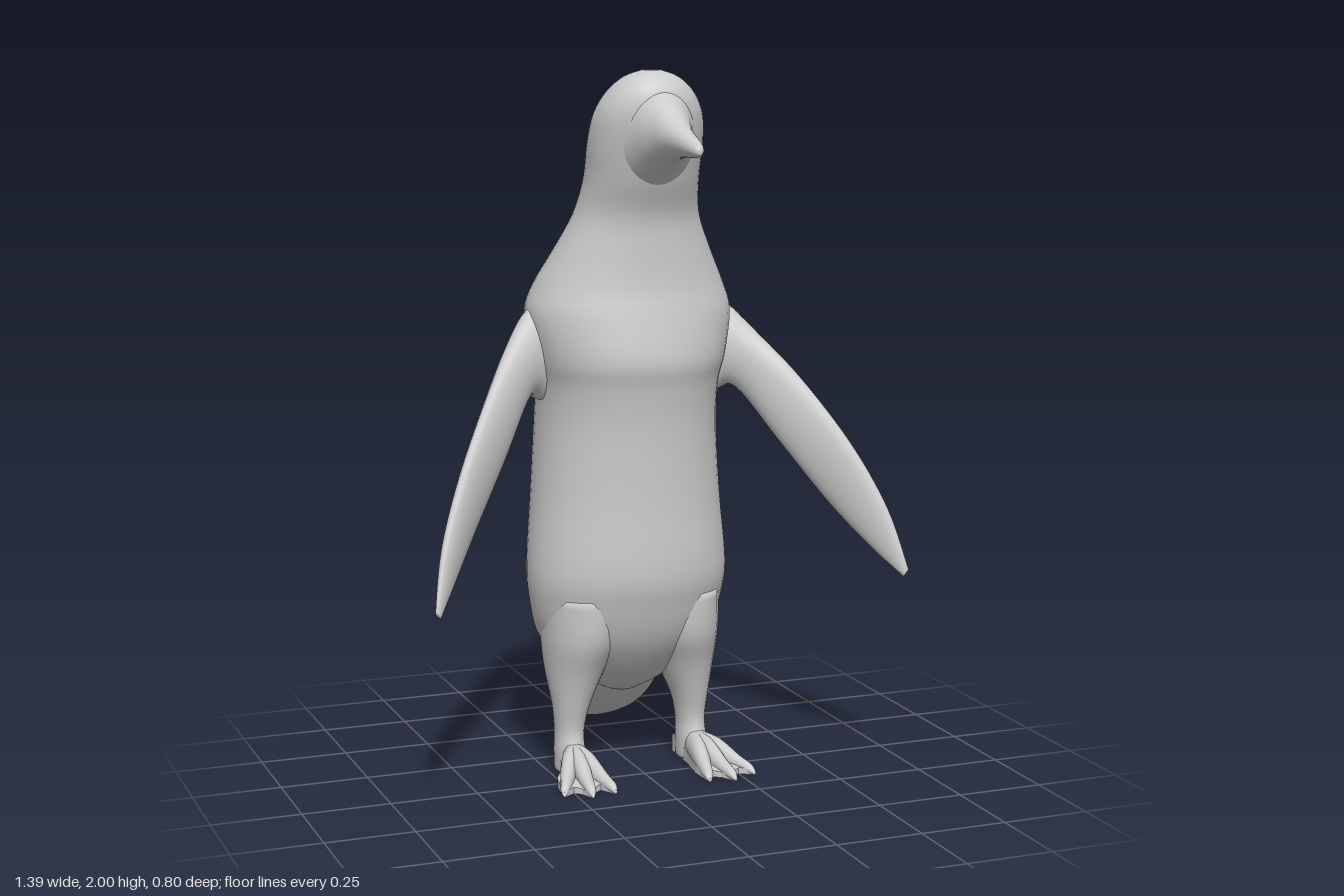
import * as THREE from 'three';

const material = new THREE.MeshStandardMaterial({ color: 0xcccccc, side: THREE.DoubleSide });

// Smooth interpolation through rows of numbers
function sampleRows(rows, steps) {
  const out = [], n = rows.length - 1;
  for (let i = 0; i <= n * steps; i++) {
    const k = Math.min(Math.floor(i / steps), n - 1), t = i / steps - k;
    const p0 = rows[Math.max(k - 1, 0)], p1 = rows[k], p2 = rows[k + 1], p3 = rows[Math.min(k + 2, n)];
    out.push(p1.map((b, j) => {
      const a = p0[j], c = p2[j], d = p3[j];
      return b + 0.5 * t * (c - a + t * (2 * a - 5 * b + 4 * c - d + t * (3 * (b - c) + d - a)));
    }));
  }
  return out;
}

// Closed skin over oval sections; each row is centre, half axis a, half axis b
function loft(name, rows, { steps = 4, sides = 32, power = 2 } = {}) {
  const rings = sampleRows(rows, steps), pos = [], idx = [];
  const bend = v => Math.sign(v) * Math.abs(v) ** (2 / power);
  for (const r of rings) {
    for (let s = 0; s < sides; s++) {
      const q = s / sides * Math.PI * 2, u = bend(Math.cos(q)), v = bend(Math.sin(q));
      for (let j = 0; j < 3; j++) pos.push(r[j] + u * r[3 + j] + v * r[6 + j]);
    }
  }
  const last = rings.length - 1, c0 = pos.length / 3;
  pos.push(...rings[0].slice(0, 3), ...rings[last].slice(0, 3));

  // Wind the faces outwards whichever way the axes turn
  const mid = rows[rows.length >> 1];
  const dir = new THREE.Vector3(...rows.at(-1)).sub(new THREE.Vector3(...rows[0]));
  const turn = new THREE.Vector3(mid[3], mid[4], mid[5]).cross(new THREE.Vector3(mid[6], mid[7], mid[8]));
  const flip = turn.dot(dir) < 0;
  const tri = (a, b, c) => flip ? idx.push(a, c, b) : idx.push(a, b, c);
  for (let s = 0; s < sides; s++) {
    const t = (s + 1) % sides;
    for (let i = 0; i < last; i++) {
      const a = i * sides + s, b = i * sides + t;
      tri(a, b, b + sides);
      tri(a, b + sides, a + sides);
    }
    tri(c0, t, s);
    tri(c0 + 1, last * sides + s, last * sides + t);
  }
  const geo = new THREE.BufferGeometry();
  geo.setAttribute('position', new THREE.Float32BufferAttribute(pos, 3));
  geo.setIndex(idx);
  geo.computeVertexNormals();
  const mesh = new THREE.Mesh(geo, material);
  mesh.name = name;
  return mesh;
}

// Level section: height, half width, front z, back z, centre x
const level = ([y, w, zf, zb, x = 0]) => [x, y, (zf + zb) / 2, w, 0, 0, 0, 0, (zf - zb) / 2];
// Upright section: z, half width, top y, bottom y
const upright = ([z, w, top, bottom]) => [0, (top + bottom) / 2, z, w, 0, 0, 0, (top - bottom) / 2, 0];

function flipper(side) {
  // Leading edge, trailing edge, half thickness
  const rows = [
    [0.22, 1.35, -0.19, 0.18, 1.10, -0.15, 0.06],
    [0.285, 1.34, -0.13, 0.26, 1.08, -0.13, 0.06],
    [0.37, 1.245, -0.06, 0.32, 1.09, -0.10, 0.045],
    [0.46, 1.13, 0.03, 0.41, 0.95, -0.01, 0.033],
    [0.57, 0.95, 0.14, 0.53, 0.77, 0.09, 0.028],
    [0.65, 0.77, 0.22, 0.62, 0.65, 0.19, 0.02],
    [0.692, 0.60, 0.275, 0.68, 0.58, 0.27, 0.006],
  ].map(([lx, ly, lz, tx, ty, tz, h]) => [
    side * (lx + tx) / 2, (ly + ty) / 2, (lz + tz) / 2,
    side * (lx - tx) / 2, (ly - ty) / 2, (lz - tz) / 2,
    side * h * 0.73, 0, -h * 0.68]);
  return loft(side > 0 ? 'leftFlipper' : 'rightFlipper', rows, { steps: 5, sides: 24 });
}

function foot(side) {
  const group = new THREE.Group();
  group.name = side > 0 ? 'leftFoot' : 'rightFoot';

  // Webbed sole, tapering in height from heel to toes
  const outline = [
    [0.155, -0.175], [0.215, -0.175], [0.23, -0.05], [0.275, 0.03], [0.288, 0.125], [0.25, 0.10],
    [0.232, 0.115], [0.215, 0.16], [0.19, 0.115], [0.17, 0.10], [0.142, 0.15], [0.137, 0.05], [0.15, -0.05],
  ].map(([x, z]) => new THREE.Vector2(side * x, -z));
  const web = new THREE.ExtrudeGeometry(new THREE.Shape(outline), { depth: 1, bevelEnabled: false });
  web.rotateX(-Math.PI / 2);
  const p = web.attributes.position;
  for (let i = 0; i < p.count; i++) {
    p.setY(i, p.getY(i) * THREE.MathUtils.mapLinear(p.getZ(i), -0.175, 0.16, 0.05, 0.012));
  }
  web.computeVertexNormals();
  const sole = new THREE.Mesh(web, material);
  sole.name = 'webbedSole';
  group.add(sole);

  // Three toes fanning out from the ankle
  for (const [x, z] of [[0.142, 0.15], [0.215, 0.165], [0.288, 0.13]]) {
    const rows = [[0, 0.03, 0.045], [0.35, 0.028, 0.04], [0.7, 0.02, 0.022], [0.9, 0.014, 0.014], [1, 0.003, 0.004]]
      .map(([t, w, h]) => [
        side * THREE.MathUtils.lerp(0.187, x, t), h + 0.002, THREE.MathUtils.lerp(-0.09, z, t),
        w, 0, 0, 0, h, 0]);
    group.add(loft('toe', rows, { sides: 12 }));
  }
  return group;
}

export function createModel() {
  const model = new THREE.Group();
  model.name = 'penguin';

  // Torso, neck and skull in one skin
  model.add(loft('body', [
    [0.21, 0.05, -0.15, -0.30], [0.25, 0.13, -0.09, -0.335], [0.32, 0.205, -0.03, -0.345],
    [0.40, 0.26, 0.02, -0.35], [0.50, 0.285, 0.055, -0.36], [0.60, 0.292, 0.075, -0.37],
    [0.80, 0.275, 0.07, -0.385], [1.00, 0.262, 0.075, -0.39], [1.12, 0.262, 0.09, -0.375],
    [1.20, 0.278, 0.105, -0.365], [1.32, 0.298, 0.085, -0.355], [1.40, 0.275, 0.07, -0.33],
    [1.50, 0.225, 0.065, -0.265], [1.60, 0.18, 0.07, -0.205], [1.70, 0.162, 0.11, -0.165],
    [1.80, 0.161, 0.14, -0.135], [1.88, 0.15, 0.155, -0.105], [1.94, 0.118, 0.15, -0.07],
    [1.98, 0.072, 0.12, -0.025], [1.997, 0.025, 0.075, 0.025],
  ].map(level), { sides: 48, power: 2.1 }));

  // Face running forward into a pointed beak
  model.add(loft('beak', [
    [0.00, 0.12, 1.97, 1.67], [0.08, 0.118, 1.97, 1.675], [0.14, 0.088, 1.945, 1.715],
    [0.20, 0.06, 1.905, 1.75], [0.25, 0.044, 1.87, 1.768], [0.30, 0.034, 1.847, 1.774],
    [0.36, 0.024, 1.826, 1.776], [0.39, 0.014, 1.812, 1.78], [0.40, 0.004, 1.80, 1.787],
  ].map(upright)));

  // Broad flat tail
  model.add(loft('tail', [
    [0.46, 0.20, -0.20, -0.35], [0.34, 0.18, -0.17, -0.352], [0.24, 0.15, -0.185, -0.36],
    [0.17, 0.135, -0.245, -0.372], [0.11, 0.105, -0.32, -0.388], [0.08, 0.06, -0.365, -0.397],
    [0.07, 0.015, -0.385, -0.398],
  ].map(level)));

  for (const side of [1, -1]) {
    // Thigh narrowing to the ankle
    const leg = [
      [0.52, 0.12, 0.03, -0.30, 0.145], [0.40, 0.11, 0.02, -0.27, 0.152], [0.30, 0.085, -0.02, -0.23, 0.168],
      [0.20, 0.055, -0.05, -0.18, 0.182], [0.12, 0.042, -0.065, -0.172, 0.187],
      [0.06, 0.043, -0.05, -0.178, 0.188], [0.005, 0.042, -0.04, -0.18, 0.188],
    ].map(([y, w, zf, zb, x]) => level([y, w, zf, zb, side * x]));
    model.add(loft(side > 0 ? 'leftLeg' : 'rightLeg', leg, { sides: 24 }));
    model.add(foot(side), flipper(side));
  }
  return model;
}
